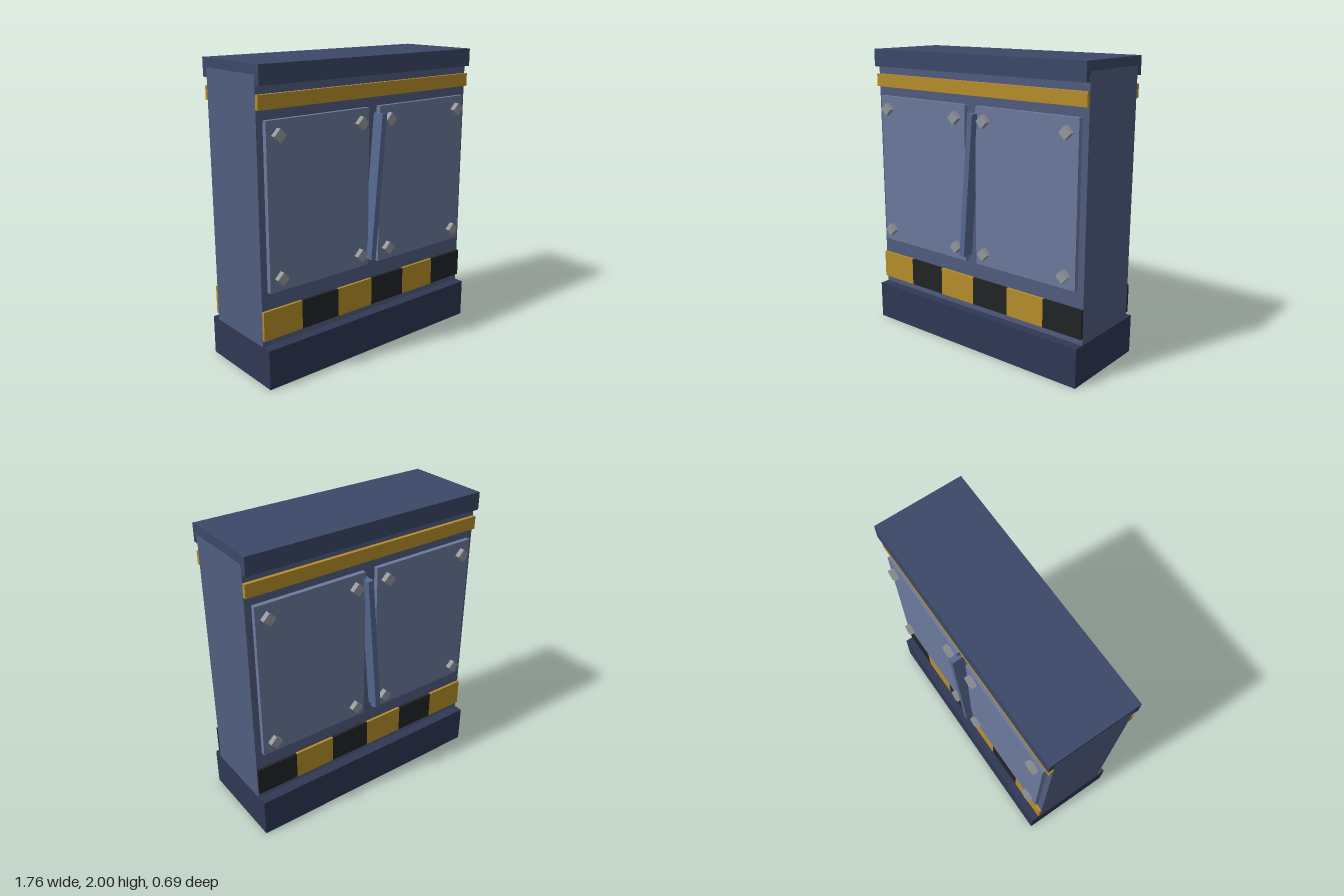
import * as THREE from 'three';

const material = (color) => new THREE.MeshStandardMaterial({ color });

export function createModel() {
  const model = new THREE.Group();
  model.name = 'barrierWall';

  const mats = {
    base: material(0x2f3854),
    cap: material(0x3b4868),
    body: material(0x505d7f),
    panel: material(0x6b799c),
    handle: material(0x566890),
    yellow: material(0xb88d2a),
    black: material(0x222325),
    bolt: material(0x95989c),
  };
  const halfWidth = 0.88;

  // Box given by its extents on each axis
  const box = (parent, name, mat, [x0, x1], [y0, y1], [z0, z1]) => {
    const mesh = new THREE.Mesh(new THREE.BoxGeometry(x1 - x0, y1 - y0, z1 - z0), mat);
    mesh.position.set((x0 + x1) / 2, (y0 + y1) / 2, (z0 + z1) / 2);
    mesh.name = name;
    parent.add(mesh);
    return mesh;
  };

  // Core slab with plinth and cap, all flush at the ends
  const across = [-halfWidth, halfWidth];
  box(model, 'base', mats.base, across, [0, 0.265], [-0.333, 0.333]);
  box(model, 'body', mats.body, across, [0.265, 1.88], [-0.265, 0.265]);
  box(model, 'cap', mats.cap, across, [1.88, 2], [-0.307, 0.307]);
  // Body ends show halfway up the cap
  for (const s of [-1, 1]) {
    const end = box(model, 'bodyEnd', mats.body, [-0.001, 0.001], [1.88, 1.94], [-0.265, 0.265]);
    end.position.x = s * halfWidth;
  }

  // A four-sided bolt head set as a diamond
  const boltGeometry = new THREE.CylinderGeometry(0.044, 0.044, 0.04, 4).toNonIndexed();
  boltGeometry.computeVertexNormals();
  boltGeometry.rotateX(Math.PI / 2);

  // Fittings are the same on both faces, mirrored in z
  for (const s of [1, -1]) {
    const face = new THREE.Group();
    face.name = s > 0 ? 'frontFace' : 'backFace';
    const depth = (inner, outer) => (s > 0 ? [inner, outer] : [-outer, -inner]);

    box(face, 'upperBand', mats.yellow, across, [1.74, 1.828], depth(0.265, 0.29));

    // Hazard stripe of alternating blocks
    const step = (2 * halfWidth) / 6;
    for (let i = 0; i < 6; i++) {
      const x = -halfWidth + i * step;
      box(face, 'hazardBlock', i % 2 ? mats.black : mats.yellow,
        [x, x + step], [0.31, 0.503], depth(0.265, 0.283));
    }

    // Two plates, each with a bolt near every corner
    for (const side of [-1, 1]) {
      const xs = side > 0 ? [0.045, 0.835] : [-0.835, -0.047];
      box(face, 'panel', mats.panel, xs, [0.62, 1.678], depth(0.265, 0.297));
      for (const x of [0.122, 0.757]) {
        for (const y of [0.707, 1.588]) {
          const bolt = new THREE.Mesh(boltGeometry, mats.bolt);
          bolt.name = 'bolt';
          bolt.position.set(side * x, y, s * 0.313);
          face.add(bolt);
        }
      }
    }

    // Leaning bar over the gap between the plates
    const bar = box(face, 'leaningBar', mats.handle,
      [-0.02, 0.02], [0.662, 1.634], depth(0.265, 0.347));
    bar.rotation.z = -0.087;
    model.add(face);
  }

  return model;
}
